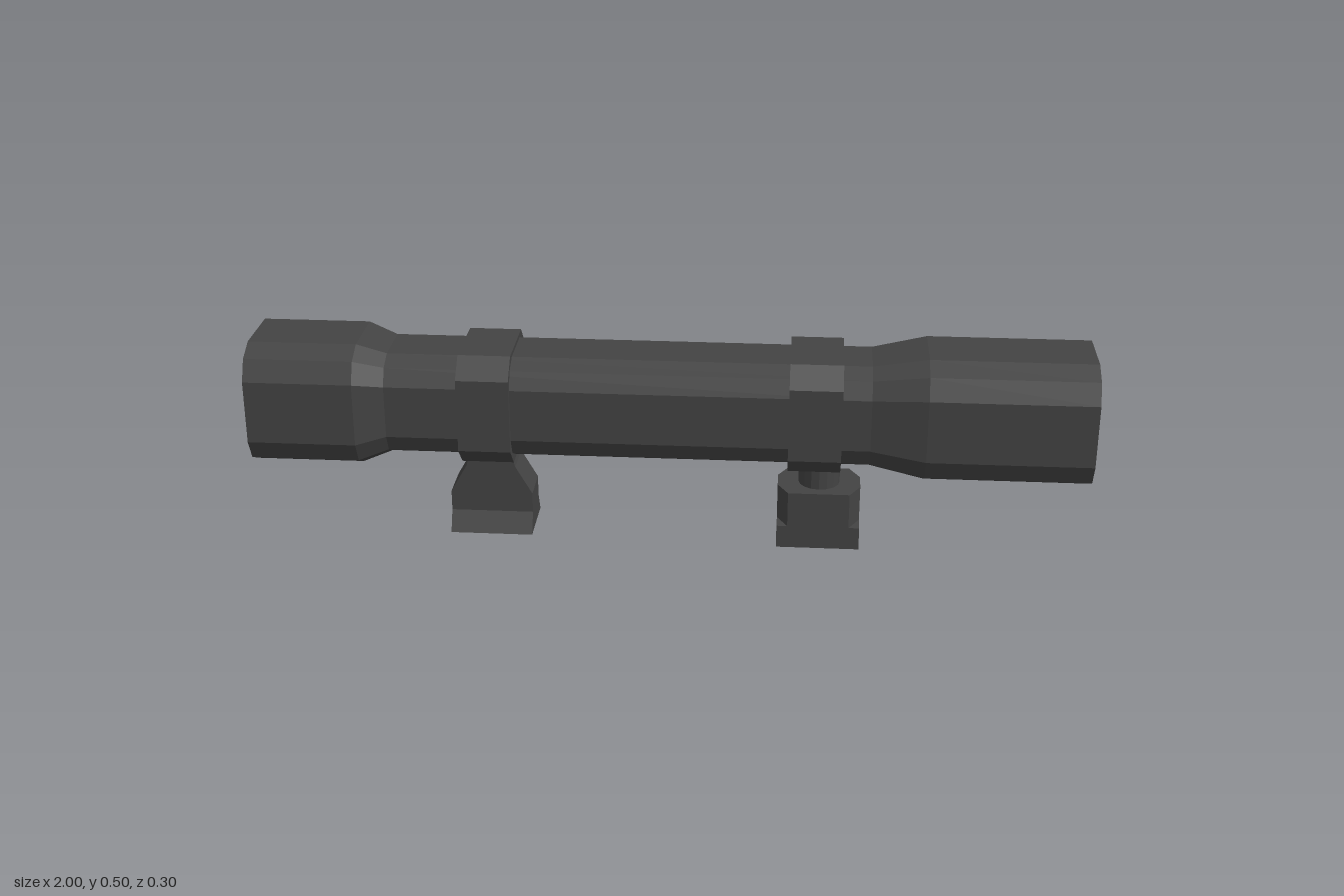
import * as THREE from 'three';

// Mirror the points of one corner into a closed counterclockwise outline.
function outline(corner) {
  const rev = [...corner].reverse();
  return [
    ...corner,
    ...rev.map(([u, v]) => [-u, v]),
    ...corner.map(([u, v]) => [-u, -v]),
    ...rev.map(([u, v]) => [u, -v]),
  ];
}

// Join outlines along the x or y axis; stations are [position, outline].
function loft(axis, stations) {
  const rings = stations.map(([t, pts]) =>
    pts.map(([u, v]) => (axis === 'x' ? [t, u, v] : [v, t, u])));
  const pos = [];
  const tri = (a, b, c) => pos.push(...a, ...b, ...c);
  const n = rings[0].length;
  for (let i = 0; i < rings.length - 1; i++) {
    for (let j = 0; j < n; j++) {
      const k = (j + 1) % n;
      tri(rings[i][j], rings[i][k], rings[i + 1][k]);
      tri(rings[i][j], rings[i + 1][k], rings[i + 1][j]);
    }
  }
  const first = rings[0];
  const last = rings[rings.length - 1];
  for (let j = 1; j < n - 1; j++) {
    tri(first[0], first[j + 1], first[j]);
    tri(last[0], last[j], last[j + 1]);
  }
  const geo = new THREE.BufferGeometry();
  geo.setAttribute('position', new THREE.Float32BufferAttribute(pos, 3));
  geo.computeVertexNormals();
  return geo;
}

export function createModel() {
  const model = new THREE.Group();
  model.name = 'scope';
  const metal = new THREE.MeshStandardMaterial({ color: 0x434343, flatShading: true });
  metal.name = 'dark grey metal';

  function add(parent, name, geo, x = 0, y = 0, z = 0) {
    const mesh = new THREE.Mesh(geo, metal);
    mesh.name = name;
    mesh.position.set(x, y, z);
    parent.add(mesh);
    return mesh;
  }

  const axisY = 0.348;

  // Scope body: twelve-sided tube, wide at both ends, with recessed square lenses
  const wide = outline([[0.152, 0.077], [0.127, 0.127], [0.077, 0.152]]);
  const narrow = wide.map(([u, v]) => [u * 0.83, v * 0.83]);
  const lens = outline([[0.124, 0.124], [0.124, 0.124], [0.124, 0.124]]);
  add(model, 'scopeBody', loft('x', [
    [-0.98, lens], [-1, wide], [-0.74, wide], [-0.67, narrow],
    [0.48, narrow], [0.61, wide], [1, wide], [0.98, lens],
  ]), 0, axisY);

  // Octagonal clamp rings
  const clamp = outline([[0.137, 0.09], [0.09, 0.137]]);
  for (const [name, x] of [['rightClampRing', -0.433], ['leftClampRing', 0.35]]) {
    add(model, name, loft('x', [[-0.0625, clamp], [0.0625, clamp]]), x, axisY);
  }

  // Flared mount
  const flared = new THREE.Group();
  flared.name = 'flaredMount';
  flared.position.x = -0.434;
  const rect = (hx, hz) => outline([[hz, hx]]);
  add(flared, 'flaredFoot', loft('y', [
    [0.01, rect(0.1, 0.076)], [0.06, rect(0.1, 0.05)], [0.11, rect(0.1, 0.05)],
    [0.18, rect(0.06, 0.05)], [0.2, rect(0.054, 0.05)],
  ]));
  add(flared, 'flaredNeck', new THREE.CylinderGeometry(0.05, 0.05, 0.06, 16), 0, 0.2);
  model.add(flared);

  // Block mount: rectangular ledge, block with cut corners and a round neck
  const block = new THREE.Group();
  block.name = 'blockMount';
  block.position.x = 0.364;
  add(block, 'blockLedge', new THREE.BoxGeometry(0.2, 0.057, 0.152), 0, 0.0285);
  const cut = outline([[0.076, 0.074], [0.028, 0.1]]);
  add(block, 'blockBody', loft('y', [[0.057, cut], [0.145, cut]]));
  add(block, 'blockNeck', new THREE.CylinderGeometry(0.05, 0.05, 0.09, 16), 0, 0.185);
  model.add(block);

  return model;
}
